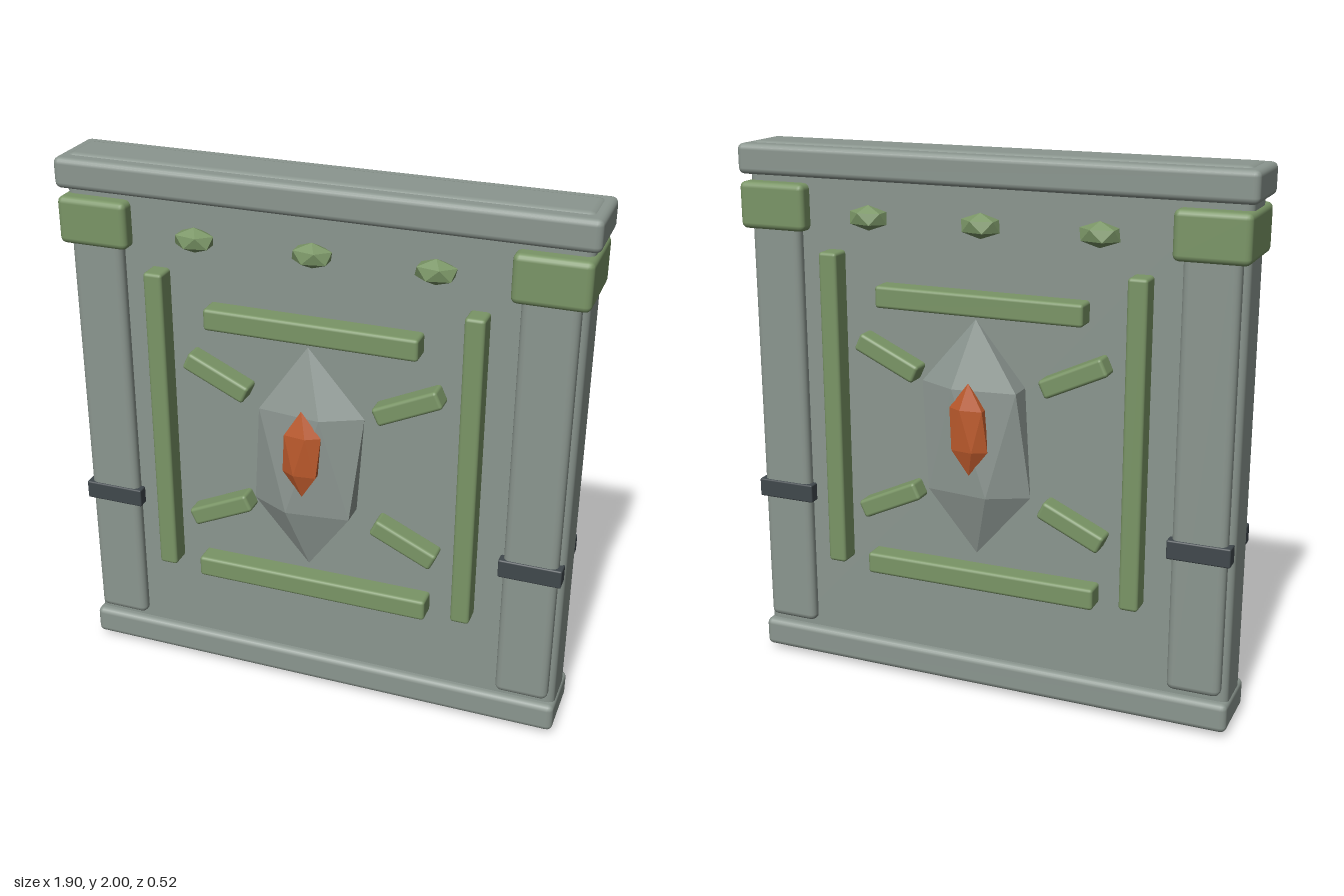
import * as THREE from 'three';
import { RoundedBoxGeometry } from 'three/addons/geometries/RoundedBoxGeometry.js';
import { ConvexGeometry } from 'three/addons/geometries/ConvexGeometry.js';

const mat = (color, flatShading = false) => new THREE.MeshStandardMaterial({ color, flatShading });

export function createModel() {
  const model = new THREE.Group();
  model.name = 'carvedStoneSlab';
  const stone = mat(0x8b968f), moss = mat(0x7a9566), iron = mat(0x40484c);
  const mossFacet = mat(0x7a9566, true), crystalMat = mat(0x8d9792, true), ember = mat(0xbc5a2c, true);

  const add = (name, geometry, material, x, y, z, angle = 0) => {
    const mesh = new THREE.Mesh(geometry, material);
    mesh.name = name;
    mesh.position.set(x, y, z);
    mesh.rotation.z = angle;
    model.add(mesh);
  };
  const block = (name, material, [w, h, d], r, x, y, z = 0, angle = 0) =>
    add(name, new RoundedBoxGeometry(w, h, d, 2, r), material, x, y, z, angle);

  // Twenty-sided gem standing on its pole: two poles and two staggered rings of five
  const gem = (rx, ry, rz) => {
    const points = [new THREE.Vector3(0, ry, 0), new THREE.Vector3(0, -ry, 0)];
    for (let i = 0; i < 5; i++) {
      const a = i * Math.PI * 0.4;
      for (const s of [1, -1]) {
        points.push(new THREE.Vector3(s * 0.894 * rx * Math.cos(a), s * 0.447 * ry, 0.894 * rz * Math.sin(a)));
      }
    }
    return new ConvexGeometry(points);
  };

  // Slab with its top and bottom rails
  block('panel', stone, [1.85, 2, 0.19], 0.03, 0, 1);
  block('topRail', stone, [1.9, 0.11, 0.268], 0.022, 0, 1.938);
  block('bottomRail', stone, [1.862, 0.11, 0.252], 0.022, 0, 0.075);

  // Pillars with capitals and straps
  for (const side of [-1, 1]) {
    block('pillar', stone, [0.195, 1.64, 0.258], 0.025, side * 0.806, 0.975);
    block('capital', moss, [0.26, 0.17, 0.3], 0.022, side * 0.807, 1.775);
    block('strap', iron, [0.226, 0.07, 0.27], 0.006, side * 0.807, 0.69);
  }

  // Ornament, the same on front and back
  for (const face of [1, -1]) {
    const z = face * 0.125;
    block('upperInlay', moss, [0.775, 0.08, 0.09], 0.012, 0, 1.487, z);
    block('lowerInlay', moss, [0.885, 0.08, 0.09], 0.012, 0, 0.467, z);
    for (const side of [-1, 1]) {
      block('sideInlay', moss, [0.07, 1.18, 0.09], 0.012, side * 0.574, 1.04, z);
      for (const up of [-1, 1]) {
        block('rayInlay', moss, [0.25, 0.068, 0.08], 0.012,
          side * 0.352, 0.995 + up * 0.27, z, side * up * 0.436);
      }
    }
    for (const x of [-0.427, 0, 0.427]) add('stud', gem(0.08, 0.045, 0.05), mossFacet, x, 1.757, face * 0.124);
    add('crystal', gem(0.23, 0.432, 0.083), crystalMat, 0, 1.01, face * 0.165);
    add('crystalCore', gem(0.08, 0.168, 0.032), ember, 0, 1.063, face * 0.234);
  }
  return model;
}
